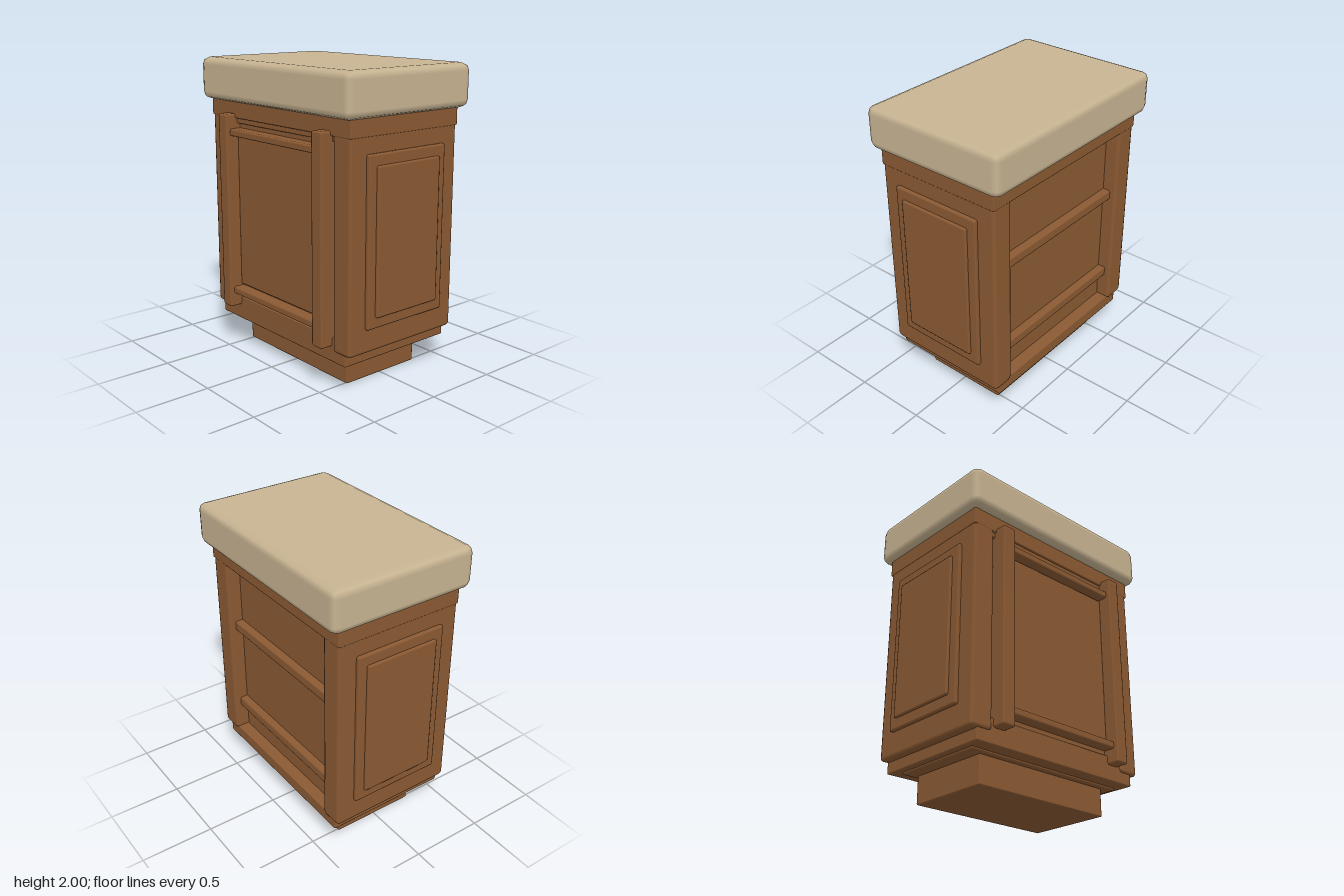
import * as THREE from 'three';
import { RoundedBoxGeometry } from 'three/addons/geometries/RoundedBoxGeometry.js';

export function createModel() {
  const model = new THREE.Group();
  model.name = 'kitchenIsland';

  const wood = new THREE.MeshStandardMaterial({ color: 0x8b5a33 });
  wood.name = 'brown wood';
  const stone = new THREE.MeshStandardMaterial({ color: 0xc8b492 });
  stone.name = 'beige stone';

  // Soft-edged block given by its extents on each axis
  function block(name, [x0, x1], [y0, y1], [z0, z1], r = 0.008, material = wood) {
    const mesh = new THREE.Mesh(new RoundedBoxGeometry(x1 - x0, y1 - y0, z1 - z0, 1, r), material);
    mesh.position.set((x0 + x1) / 2, (y0 + y1) / 2, (z0 + z1) / 2);
    mesh.name = name;
    model.add(mesh);
  }
  // Block centred across the width
  const centred = (name, w, y, z, r, material) => block(name, [-w, w], y, z, r, material);
  // Pair of blocks mirrored left and right
  function pair(name, [a, b], y, z, r) {
    block(name + 'Left', [a, b], y, z, r);
    block(name + 'Right', [-b, -a], y, z, r);
  }

  // Worktop
  centred('countertop', 0.76, [1.72, 2], [-0.52, 0.5], 0.05, stone);

  // Stepped base
  centred('foot', 0.518, [0, 0.22], [-0.3, 0.29]);
  centred('footMoulding', 0.61, [0.183, 0.23], [-0.34, 0.33], 0.012);
  centred('plinth', 0.657, [0.197, 0.285], [-0.433, 0.427]);

  // Carcass
  pair('sideWall', [0.55, 0.709], [0.27, 1.735], [-0.45, 0.44], 0.025);
  centred('topRail', 0.712, [1.61, 1.74], [-0.453, 0.442]);
  centred('core', 0.57, [0.26, 1.65], [-0.35, 0.405]);

  // Raised panels on the sides
  pair('sidePanelOuter', [0.68, 0.734], [0.43, 1.51], [-0.325, 0.315], 0.012);
  pair('sidePanelInner', [0.69, 0.752], [0.5, 1.44], [-0.265, 0.255], 0.012);

  // Front door with posts and cross bars
  centred('doorApron', 0.565, [0.25, 0.36], [0.3, 0.427]);
  centred('doorHead', 0.565, [1.575, 1.63], [0.3, 0.427]);
  centred('doorPanel', 0.442, [0.455, 1.49], [0.3, 0.425]);
  pair('doorPost', [0.44, 0.536], [0.3, 1.64], [0.38, 0.515], 0.014);
  for (const [name, y] of [['upperDoorBar', 1.495], ['lowerDoorBar', 0.395]])
    centred(name, 0.46, [y, y + 0.048], [0.38, 0.485], 0.012);

  // Shelf bars across the open back
  for (const [name, y] of [['upperShelf', 1.1], ['lowerShelf', 0.465]])
    centred(name, 0.56, [y, y + 0.07], [-0.405, -0.3], 0.012);

  return model;
}
